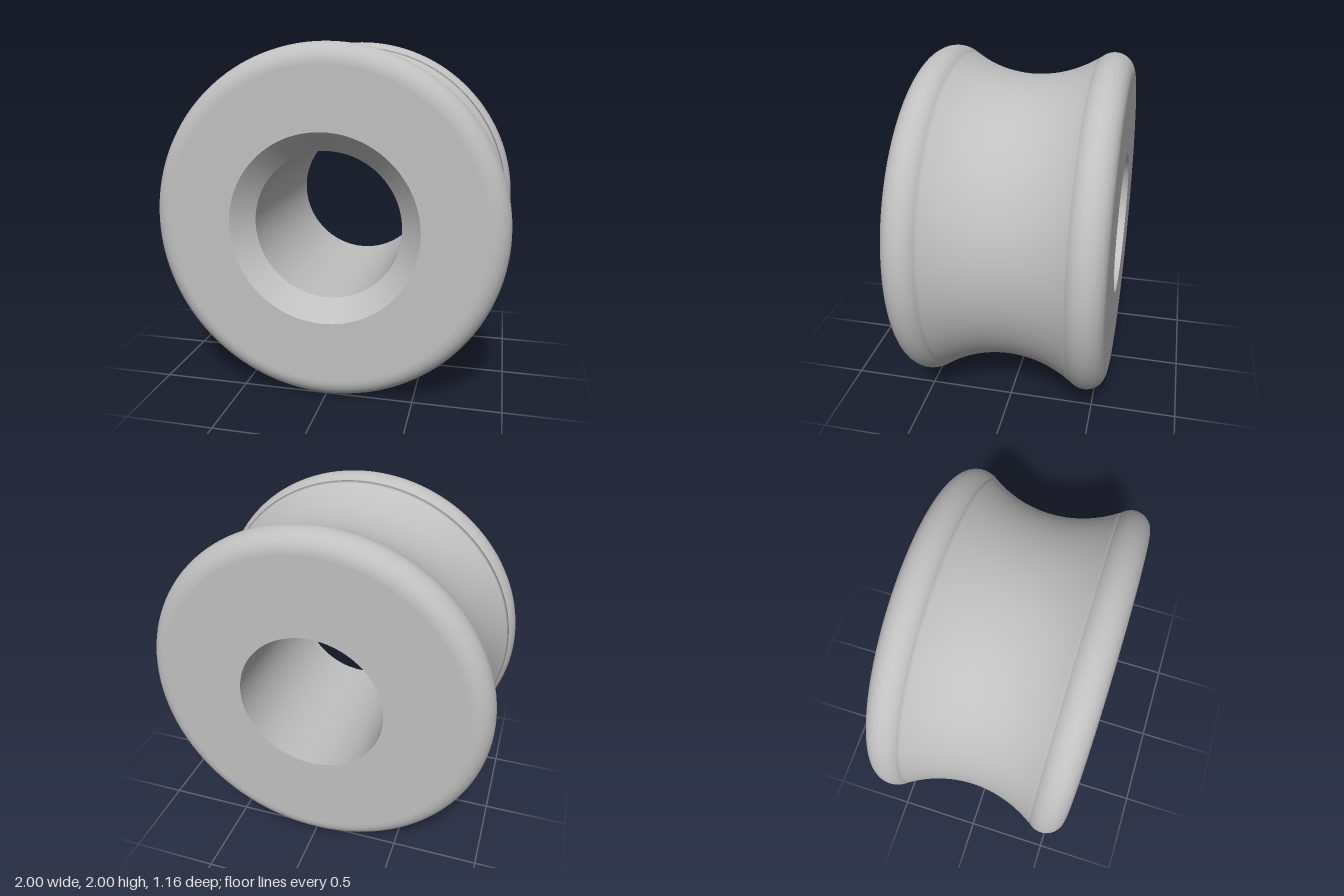
import * as THREE from 'three';

const HALF = 0.58;          // half thickness
const LIP = 0.113;          // rounded lip radius
const LIP_Z = HALF - LIP, LIP_R = 1 - LIP;
const NECK = 0.855;         // radius at the bottom of the groove
const BORE = 0.42, FLARE = 0.535;

export function createModel() {
  const group = new THREE.Group();
  group.name = 'groovedRoller';
  const grey = new THREE.MeshStandardMaterial({ color: 0xc0c0c0 });
  grey.name = 'grey';

  // Each part is a profile of [radius, z] turned about the z axis
  const turn = (name, profile) => {
    const pts = profile.map(([r, z]) => new THREE.Vector2(r, z));
    const geo = new THREE.LatheGeometry(pts, 128).rotateX(Math.PI / 2);
    const mesh = new THREE.Mesh(geo, grey);
    mesh.name = name;
    mesh.position.y = 1;
    group.add(mesh);
  };

  // Groove arc that runs tangent into both lips
  const d = LIP_R - NECK;
  const grooveR = (LIP_Z ** 2 + d * d - LIP ** 2) / (2 * (LIP + d));
  const grooveC = NECK + grooveR;
  const sweep = Math.atan2(LIP_Z, grooveC - LIP_R);
  const lipEnd = Math.PI / 2 + sweep;   // sweep measured from the groove's deepest point
  const lipSpan = Math.PI - sweep;

  const outer = [];
  const STEPS = 20;
  for (let i = 0; i <= STEPS; i++) {    // back lip
    const a = (lipSpan * i) / STEPS;
    outer.push([LIP_R + LIP * Math.sin(a), -LIP_Z - LIP * Math.cos(a)]);
  }
  for (let i = 1; i < 40; i++) {        // groove
    const a = -sweep + (2 * sweep * i) / 40;
    outer.push([grooveC - grooveR * Math.cos(a), grooveR * Math.sin(a)]);
  }
  for (let i = STEPS; i >= 0; i--) {    // front lip
    const a = (lipSpan * i) / STEPS;
    outer.push([LIP_R + LIP * Math.sin(a), LIP_Z + LIP * Math.cos(a)]);
  }
  turn('grooveAndLips', outer);

  // Flat faces, countersink on the front only, and straight bore
  const sinkZ = HALF - (FLARE - BORE);
  turn('frontFace', [[LIP_R, HALF], [FLARE, HALF]]);
  turn('countersink', [[FLARE, HALF], [BORE, sinkZ]]);
  turn('bore', [[BORE, sinkZ], [BORE, -HALF]]);
  turn('backFace', [[BORE, -HALF], [LIP_R, -HALF]]);

  return group;
}
